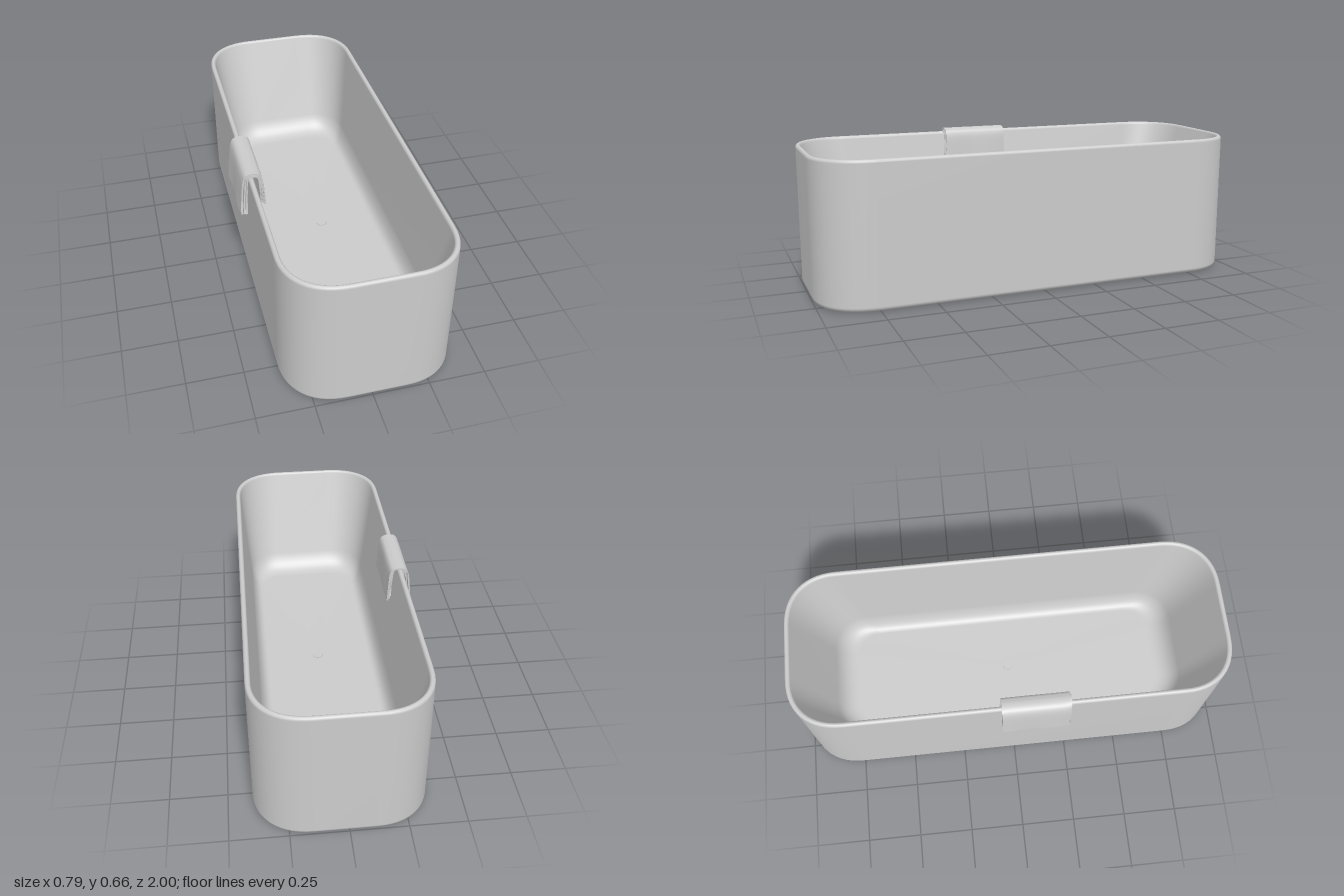
import * as THREE from 'three';
import { toCreasedNormals } from 'three/addons/utils/BufferGeometryUtils.js';

const material = new THREE.MeshStandardMaterial({ color: 0xcccccc });
const CORNER_STEPS = 14;

// Rectangle with soft superelliptic corners in the xz plane at height y
function ring([cx, hx, hz, r, y]) {
  const points = [];
  const soft = v => Math.sign(v) * Math.pow(Math.abs(v), 2 / 2.3);
  for (let q = 0; q < 4; q++) {
    const sx = q === 0 || q === 3 ? 1 : -1;
    const sz = q < 2 ? 1 : -1;
    for (let i = 0; i <= CORNER_STEPS; i++) {
      const a = (q + i / CORNER_STEPS) * Math.PI / 2;
      points.push([cx + sx * (hx - r) + r * soft(Math.cos(a)), y, sz * (hz - r) + r * soft(Math.sin(a))]);
    }
  }
  return points;
}

// Skin a series of rings
function loft(sections) {
  const rings = sections.map(ring);
  const n = rings[0].length;
  const index = [];
  for (let j = 0; j < rings.length - 1; j++) {
    for (let i = 0; i < n; i++) {
      const a = j * n + i, b = j * n + (i + 1) % n;
      index.push(a, a + n, b, b, a + n, b + n);
    }
  }
  const geometry = new THREE.BufferGeometry();
  geometry.setAttribute('position', new THREE.Float32BufferAttribute(rings.flat(2), 3));
  geometry.setIndex(index);
  geometry.computeVertexNormals();
  return geometry;
}

const FLOOR_X = 0.033, FLOOR_Y = 0.13;

function createTub() {
  const cx = 0.02, hx = 0.375, r = 0.25;
  const sections = [[cx, 0, 0, 0, 0]];
  // rounded bottom edge
  for (let i = 0; i <= 5; i++) {
    const a = i / 5 * Math.PI / 2, d = 0.022 * (1 - Math.sin(a));
    sections.push([cx, hx - d, 1 - d, r - d, 0.022 * (1 - Math.cos(a))]);
  }
  // rolled rim
  for (let i = 0; i <= 8; i++) {
    const a = i / 8 * Math.PI, d = 0.012 * (1 - Math.cos(a));
    sections.push([cx, hx - d, 1 - d, r - d, 0.631 + 0.014 * Math.sin(a)]);
  }
  // sloping inner wall, bending smoothly into the floor
  const wallEnd = [FLOOR_X, 0.3, 0.84, 0.17, FLOOR_Y + 0.09];
  const bend = [FLOOR_X, 0.286, 0.808, 0.145, FLOOR_Y];
  const floorEdge = [FLOOR_X, 0.24, 0.73, 0.11, FLOOR_Y];
  for (let i = 0; i <= 8; i++) {
    const t = i / 8;
    sections.push(wallEnd.map((w, k) =>
      (1 - t) ** 2 * w + 2 * t * (1 - t) * bend[k] + t * t * floorEdge[k]));
  }
  sections.push([FLOOR_X, 0, 0, 0, FLOOR_Y]);
  const tub = new THREE.Mesh(loft(sections), material);
  tub.name = 'tub';
  return tub;
}

// One cloth layer: a thickened path in xy, drawn out along z with soft ripples
function clothLayer(path, z0, z1, phase) {
  const curve = new THREE.SplineCurve(path.map(p => new THREE.Vector2(...p)));
  const count = 28, left = [], right = [];
  for (let i = 0; i <= count; i++) {
    const u = i / count, p = curve.getPoint(u), t = curve.getTangent(u);
    const half = 0.003 + 0.0015 * Math.abs(2 * u - 1);
    left.push(new THREE.Vector2(p.x - t.y * half, p.y + t.x * half));
    right.push(new THREE.Vector2(p.x + t.y * half, p.y - t.x * half));
  }
  const shape = new THREE.Shape([...left, ...right.reverse()]);
  const geometry = new THREE.ExtrudeGeometry(shape, { depth: z1 - z0, steps: 10, bevelEnabled: false });
  geometry.translate(0, 0, z0);
  const pos = geometry.attributes.position;
  for (let i = 0; i < pos.count; i++) {
    const x = pos.getX(i), y = pos.getY(i), z = pos.getZ(i);
    const hang = Math.max(0, 0.65 - y) / 0.2;
    pos.setXYZ(i,
      x + 0.0025 * hang * Math.sin(z * 30 + phase),
      y + 0.005 * hang * Math.sin(z * 24 + phase),
      z + 0.006 * hang * Math.sin(y * 45 + phase));
  }
  return new THREE.Mesh(toCreasedNormals(geometry, 0.7), material);
}

// Folded towel: layers blended between the outermost and innermost paths
function createTowel() {
  const outer = [
    [-0.393, 0.457], [-0.387, 0.54], [-0.38, 0.61], [-0.37, 0.645],
    [-0.348, 0.658], [-0.315, 0.655], [-0.297, 0.635], [-0.29, 0.56], [-0.286, 0.49]
  ];
  const inner = [
    [-0.369, 0.446], [-0.366, 0.53], [-0.362, 0.6], [-0.357, 0.636],
    [-0.342, 0.648], [-0.318, 0.646], [-0.308, 0.625], [-0.304, 0.56], [-0.302, 0.5]
  ];
  const towel = new THREE.Group();
  towel.name = 'towel';
  for (let i = 0; i < 3; i++) {
    const t = i / 2;
    const path = outer.map((p, k) => p.map((v, c) => v + (inner[k][c] - v) * t));
    const layer = clothLayer(path, -0.06 + 0.006 * i, 0.244 + 0.003 * i, i);
    layer.name = 'towelLayer' + (i + 1);
    towel.add(layer);
  }
  return towel;
}

export function createModel() {
  const model = new THREE.Group();
  model.name = 'bathtub';
  model.add(createTub(), createTowel());

  // drain cover set in the floor
  const drain = new THREE.Mesh(new THREE.CylinderGeometry(0.025, 0.025, 0.006, 24), material);
  drain.name = 'drain';
  drain.position.set(0.036, FLOOR_Y + 0.001, 0.01);
  model.add(drain);
  return model;
}
